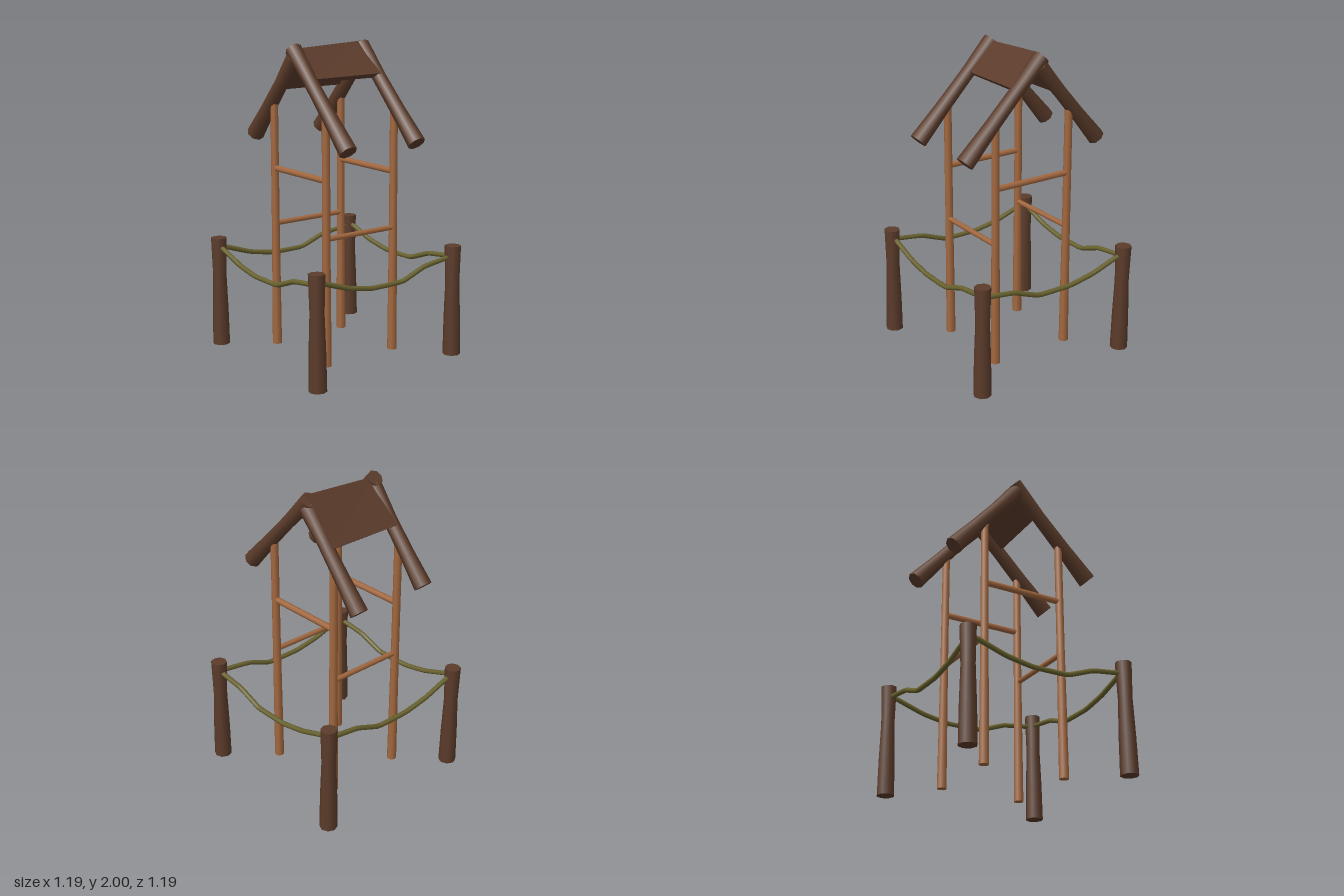
import * as THREE from 'three';

const mat = (color) => new THREE.MeshStandardMaterial({ color });
const bark = mat(0x5c3c2b), wood = mat(0xa3683f), hemp = mat(0x69622f);
const V = (x, y, z) => new THREE.Vector3(x, y, z);

// Round timber from a to b, its radius following the evenly spaced values in radii
function log(name, a, b, radii, material, sides = 8) {
  const length = a.distanceTo(b), steps = radii.length - 1;
  const geo = new THREE.CylinderGeometry(1, 1, length, sides, steps);
  const p = geo.attributes.position;
  for (let i = 0; i < p.count; i++) {
    const r = radii[Math.round((p.getY(i) / length + 0.5) * steps)];
    p.setX(i, p.getX(i) * r);
    p.setZ(i, p.getZ(i) * r);
  }
  const mesh = new THREE.Mesh(geo, material);
  mesh.name = name;
  mesh.position.copy(a).lerp(b, 0.5);
  mesh.quaternion.setFromUnitVectors(V(0, 1, 0), b.clone().sub(a).normalize());
  return mesh;
}

// Sagging rope: [distance along the side, height]
const SAG = [[-0.54, 0.66], [-0.49, 0.652], [-0.3, 0.588], [-0.12, 0.555],
  [0.12, 0.555], [0.3, 0.62], [0.49, 0.645], [0.53, 0.65]];

function rope(name, place) {
  const curve = new THREE.CatmullRomCurve3(SAG.map(([t, y]) => place(t, y)), false, 'catmullrom', 0.12);
  const mesh = new THREE.Mesh(new THREE.TubeGeometry(curve, 32, 0.016, 8), hemp);
  mesh.name = name;
  return mesh;
}

// Folded roof panel between the rafters, slightly skewed from front to back
function roofPanel() {
  const shape = new THREE.Shape([
    [-0.285, 1.718], [-0.25, 1.695], [-0.06, 1.918], [0.09, 1.768], [0.122, 1.795], [-0.062, 1.978],
  ].map(([x, y]) => new THREE.Vector2(x, y)));
  const geo = new THREE.ExtrudeGeometry(shape, { depth: 0.53, bevelEnabled: false });
  geo.translate(0, 0, -0.27);
  const p = geo.attributes.position;
  for (let i = 0; i < p.count; i++) {
    const x = p.getX(i), y = p.getY(i), z = p.getZ(i);
    p.setY(i, y - z * 0.05 * (y - 1.7) / 0.28);
    if (x > 0) p.setX(i, x - z * 0.05);
  }
  geo.computeVertexNormals();
  const mesh = new THREE.Mesh(geo, bark);
  mesh.name = 'roofPanel';
  return mesh;
}

export function createModel() {
  const model = new THREE.Group();
  model.name = 'ropedShelter';

  // Corner posts of the rope fence
  for (const x of [-0.54, 0.537]) {
    for (const z of [-0.538, 0.538]) {
      model.add(log('cornerPost', V(x, 0, z), V(x - 0.008, 0.72, z),
        [0.057, 0.053, 0.045, 0.052], bark));
    }
  }

  // Ropes along the four sides
  for (const z of [-0.538, 0.538]) model.add(rope('crossRope', (t, y) => V(t, y, z)));
  for (const x of [-0.54, 0.525]) model.add(rope('sideRope', (t, y) => V(x, y, -t)));

  const frames = [-0.27, 0.262], poleX = [-0.287, 0.258];
  for (const z of frames) {
    // Upright poles
    for (const x of poleX) {
      model.add(log('upright', V(x, 0.012, z), V(x - 0.006, 1.63, z), [0.031, 0.026, 0.025], wood));
    }
    // High crossbar
    model.add(log('crossbar', V(-0.287, 1.19, z), V(0.253, 1.19, z), [0.02, 0.02], wood));
    // Crossed rafters
    model.add(log('leftSlopeRafter', V(-0.513, 1.385, z), V(-0.062, 1.912, z),
      [0.057, 0.047, 0.044, 0.054], bark));
    model.add(log('rightSlopeRafter', V(0.472, 1.395, z), V(-0.08, 1.962, z),
      [0.057, 0.047, 0.044, 0.053], bark));
  }

  // Low rails joining the front and back frames
  for (const x of poleX) {
    model.add(log('sideRail', V(x, 0.828, frames[0]), V(x, 0.828, frames[1]), [0.017, 0.017], wood));
  }

  model.add(roofPanel());
  return model;
}
